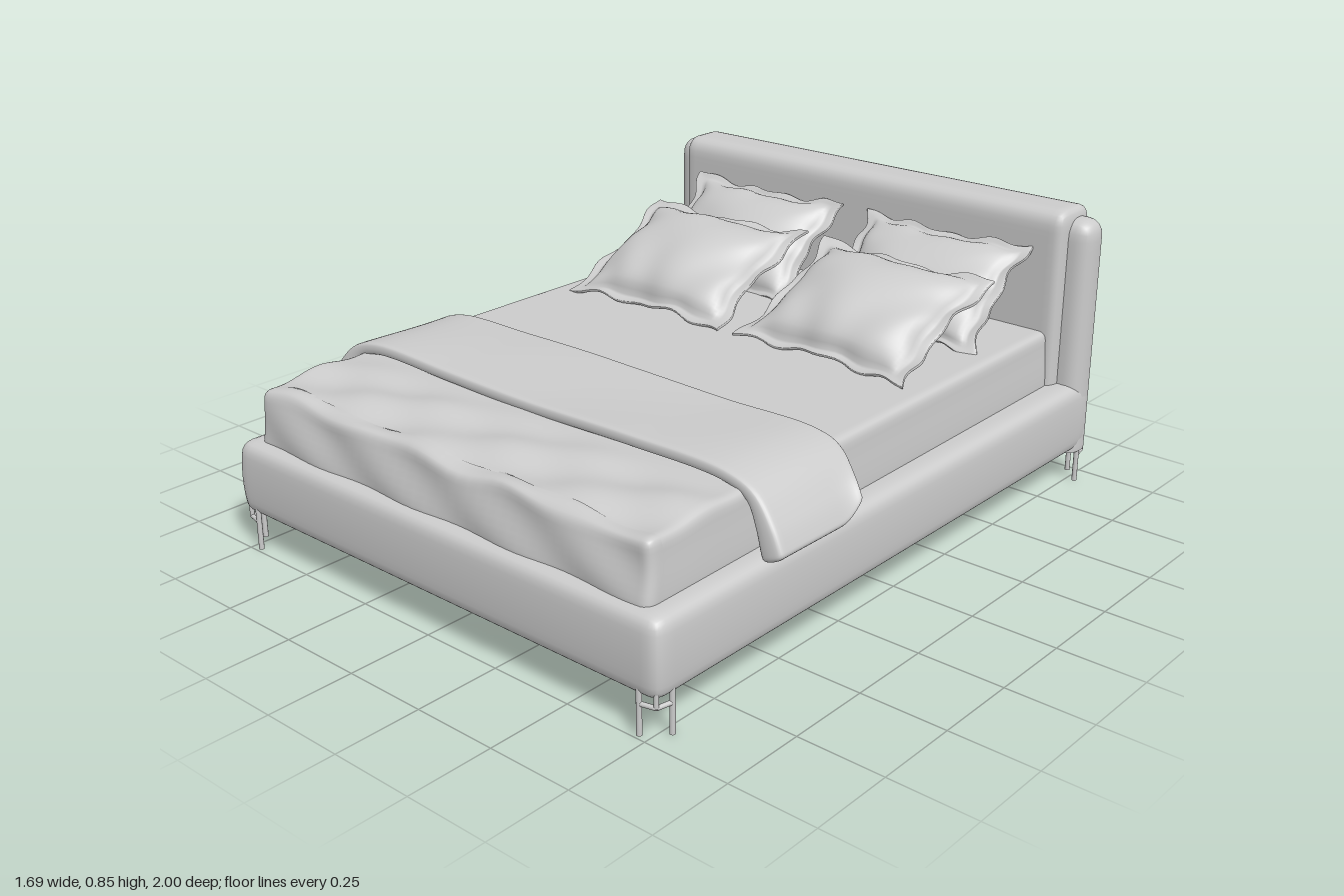
import * as THREE from 'three';
import { mergeVertices } from 'three/addons/utils/BufferGeometryUtils.js';

const grey = new THREE.MeshStandardMaterial({ color: 0xcccccc });

// Rounded box between two corners; vertices crowd towards the edges, then follow an optional rule
function softBox(name, min, max, r, segs, deform) {
  const lo = new THREE.Vector3(...min), hi = new THREE.Vector3(...max);
  const c = lo.clone().add(hi).multiplyScalar(0.5);
  const h = hi.clone().sub(lo).multiplyScalar(0.5);
  const rad = new THREE.Vector3(...r);
  const core = h.clone().sub(rad);
  let g = new THREE.BoxGeometry(2, 2, 2, ...segs);
  g.deleteAttribute('uv');
  g.deleteAttribute('normal');
  const pos = g.attributes.position;
  const p = new THREE.Vector3(), q = new THREE.Vector3(), d = new THREE.Vector3();
  const warp = s => Math.sign(s) * (1 - Math.pow(1 - Math.abs(s), 1.7));
  for (let i = 0; i < pos.count; i++) {
    p.fromBufferAttribute(pos, i);
    p.set(warp(p.x), warp(p.y), warp(p.z)).multiply(h);
    q.copy(p).clamp(core.clone().negate(), core);
    d.copy(p).sub(q).divide(rad).normalize().multiply(rad);
    p.copy(q).add(d).add(c);
    if (deform) deform(p);
    pos.setXYZ(i, p.x, p.y, p.z);
  }
  g = mergeVertices(g, 1e-5);
  g.computeVertexNormals();
  const m = new THREE.Mesh(g, grey);
  m.name = name;
  return m;
}

// Flanged cushion: thin sheet with pinched sides, inflated inside the flange
function pillow(name, hw, hl, up, down, seed) {
  return softBox(name, [-hw, -0.005, -hl], [hw, 0.005, hl], [0.004, 0.004, 0.004], [44, 2, 36], p => {
    const u = p.x / hw, v = p.z / hl;
    const a = Math.min(1, Math.abs(u) / 0.87), b = Math.min(1, Math.abs(v) / 0.86);
    const puff = Math.pow((1 - a * a) * (1 - b * b), 0.45);
    const edge = Math.max(Math.abs(u), Math.abs(v)) ** 4;
    const crease = 0.006 * Math.sin(9 * u * v + 5 * u + seed) * puff;
    p.x *= 1 - 0.09 * (1 - v * v);
    p.z *= 1 - 0.09 * (1 - u * u);
    p.x += 0.006 * edge * Math.sin(11 * v + seed);
    p.z += 0.006 * edge * Math.sin(13 * u + seed);
    p.y += (p.y > 0 ? up : -down) * puff + crease + 0.01 * edge * Math.sin(7 * u + 6 * v + seed);
  });
}

function rod(from, to, radius) {
  const a = new THREE.Vector3(...from), b = new THREE.Vector3(...to);
  const dir = b.clone().sub(a);
  const m = new THREE.Mesh(new THREE.CylinderGeometry(radius, radius, dir.length(), 12), grey);
  m.position.copy(a).add(b).multiplyScalar(0.5);
  m.quaternion.setFromUnitVectors(new THREE.Vector3(0, 1, 0), dir.normalize());
  return m;
}

export function createModel() {
  const bed = new THREE.Group();
  bed.name = 'bed';

  // Upholstered base with slightly bulging rails
  bed.add(softBox('base', [-0.78, 0.1, -0.97], [0.78, 0.32, 0.99], [0.04, 0.035, 0.04], [40, 14, 40], p => {
    const bulge = 0.008 * (1 - ((p.y - 0.21) / 0.11) ** 2);
    p.x += Math.sign(p.x) * bulge * Math.min(1, Math.abs(p.x) / 0.78);
    if (p.z > 0.9) p.z += bulge;
  }));

  // Headboard panel with a rolled top and flat foot
  bed.add(softBox('headboard', [-0.72, 0.04, -1], [0.72, 0.85, -0.83], [0.025, 0.05, 0.05], [40, 30, 14], p => {
    p.y = Math.max(p.y, 0.104);
    if (p.y > 0.7) p.y += 0.005 * p.x;
  }));

  // Mattress with a rumpled sheet towards the foot
  bed.add(softBox('mattress', [-0.72, 0.29, -0.85], [0.72, 0.487, 0.955], [0.025, 0.025, 0.03], [60, 14, 80], p => {
    const top = THREE.MathUtils.smoothstep(p.y, 0.32, 0.48);
    p.x *= 0.99 + 0.018 * p.z - 0.012 * top;
    const foot = THREE.MathUtils.smoothstep(p.z, 0.55, 0.75);
    p.y += foot * top * (0.007 * Math.sin(14 * p.x + 24 * p.z) + 0.004 * Math.sin(23 * p.x - 17 * p.z));
    p.y -= 0.012 * top * THREE.MathUtils.smoothstep(p.z, 0.75, 0.96);
    if (p.z > 0.9) p.z += 0.005 * Math.sin(17 * p.x + 30 * p.y) - 0.015 * top;
  }));

  // Folded throw draped over both sides, bent along a curve
  const drape = new THREE.CatmullRomCurve3([
    [0, 0.503], [0.35, 0.505], [0.65, 0.503], [0.73, 0.475], [0.785, 0.405], [0.818, 0.335],
  ].map(([x, y]) => new THREE.Vector3(x, y, 0)));
  const half = drape.getLength();
  bed.add(softBox('throw', [-half, -0.018, 0.235], [half, 0.018, 0.6], [0.015, 0.015, 0.015], [100, 6, 24], p => {
    const t = Math.min(1, Math.abs(p.x) / half), side = p.x < 0 ? -1 : 1;
    const c = drape.getPointAt(t), tan = drape.getTangentAt(t);
    const fall = THREE.MathUtils.smoothstep(t, 0.76, 1);
    const k = p.y * (1 + 0.95 * fall) + 0.004 * Math.sin(9 * p.z + 6 * p.x);
    const back = THREE.MathUtils.clamp((0.36 - p.z) / 0.125, 0, 1);
    p.x = side * (c.x - tan.y * k);
    p.y = c.y + tan.x * k + 0.05 * back * back * fall * fall;
    p.z += fall * (0.02 + 0.04 * back);
  }));

  for (const s of [-1, 1]) {
    const label = s > 0 ? 'left' : 'right';

    // Padded headboard wing
    bed.add(softBox(label + 'HeadboardWing', [s > 0 ? 0.66 : -0.785, 0.03, -0.985],
      [s > 0 ? 0.785 : -0.66, 0.825, -0.87], [0.05, 0.05, 0.05], [12, 24, 12], p => {
        p.y = Math.max(p.y, 0.102);
      }));

    // Two leaning pillows
    const front = pillow(label + 'FrontPillow', 0.305, 0.24, 0.085, 0.06, 1 + s);
    front.position.set(s * 0.335, 0.592, -0.4);
    front.rotation.set(0.43, -s * 0.02, 0);
    const rear = pillow(label + 'RearPillow', 0.295, 0.2, 0.07, 0.05, 2.5 + s);
    rear.position.set(s * 0.34, 0.61, -0.675);
    rear.rotation.x = 0.72;
    bed.add(front, rear);

    // Forked corner legs set diagonally
    for (const [end, outer, inner] of [['Front', 0.985, 0.93], ['Rear', -0.98, -0.925]]) {
      const leg = new THREE.Group();
      leg.name = label + end + 'Leg';
      const a = [s * 0.72, outer], b = [s * 0.775, inner];
      for (const [x, z] of [a, b]) leg.add(rod([x, 0, z], [x, 0.13, z], 0.0075));
      // Bars joining the posts through the corner
      const corner = [s * 0.765, 0.085, outer - Math.sign(outer) * 0.01];
      leg.add(rod([a[0], 0.085, a[1]], corner, 0.0065));
      leg.add(rod([b[0], 0.085, b[1]], corner, 0.0065));
      leg.add(rod(corner, [corner[0], 0.125, corner[2]], 0.0065));
      bed.add(leg);
    }
  }
  return bed;
}
